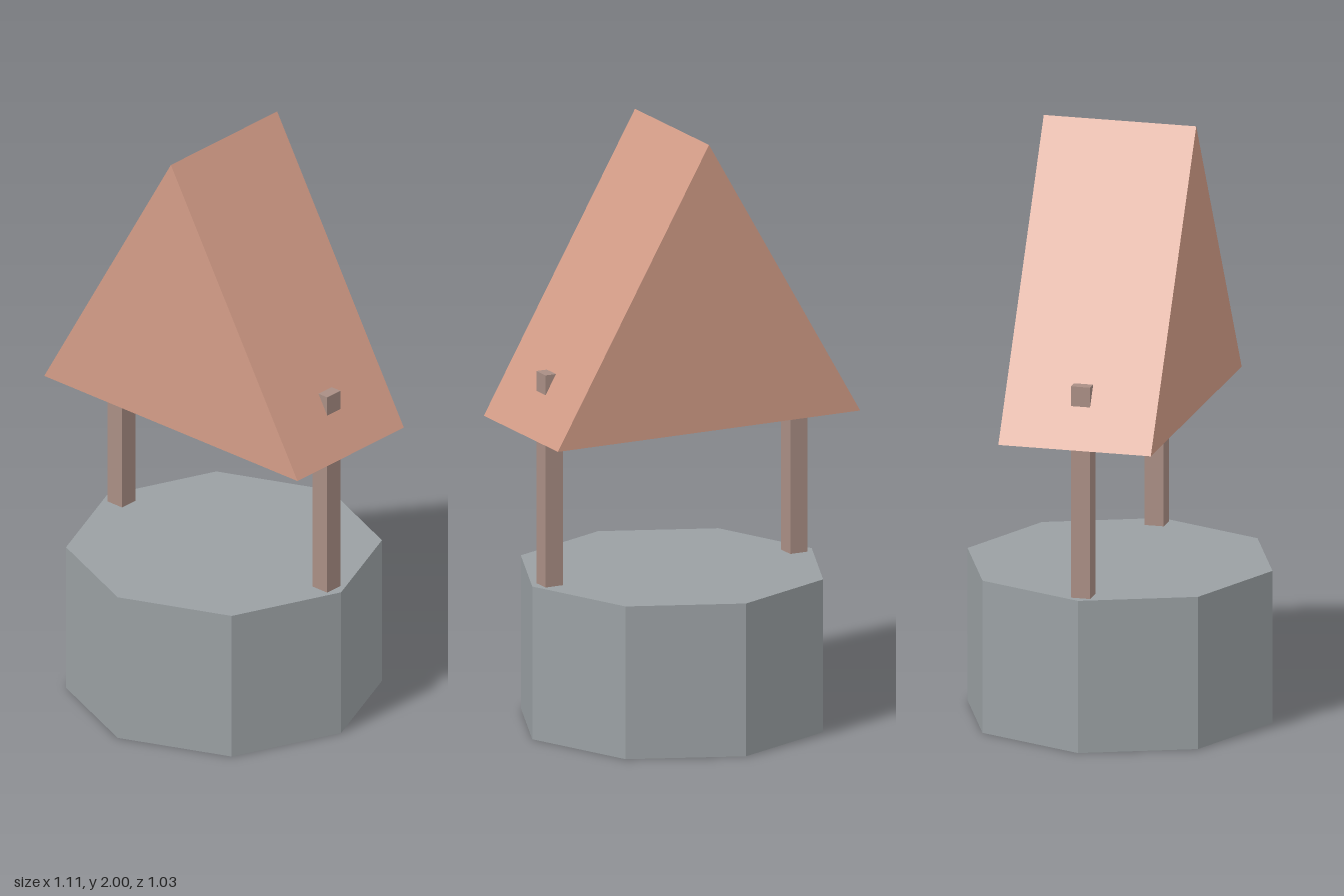
import * as THREE from 'three';

export function createModel() {
  const well = new THREE.Group();
  well.name = 'wishingWell';

  const add = (name, geometry, color, x, y, z) => {
    const material = new THREE.MeshStandardMaterial({ color, flatShading: true });
    const mesh = new THREE.Mesh(geometry, material);
    mesh.name = name;
    mesh.position.set(x, y, z);
    well.add(mesh);
  };

  // Solid eight-sided stone base, with corners on the x and z axes
  const baseHeight = 0.515;
  add('stoneBase', new THREE.CylinderGeometry(0.515, 0.515, baseHeight, 8), 0x9aa0a3, 0, baseHeight / 2, 0);

  // Square posts, sunk into the base and poking through the roof slopes
  const postBottom = 0.46, postTop = 1.23;
  for (const [name, side] of [['leftPost', 1], ['rightPost', -1]]) {
    add(name, new THREE.BoxGeometry(0.064, postTop - postBottom, 0.064), 0xa98e84,
      side * 0.451, (postTop + postBottom) / 2, 0);
  }

  // Solid gable roof: a triangular prism with its ridge along z
  const gable = new THREE.Shape([
    new THREE.Vector2(-0.557, 1.035),
    new THREE.Vector2(0.557, 1.035),
    new THREE.Vector2(0, 2),
  ]);
  const roofDepth = 0.515;
  add('roof', new THREE.ExtrudeGeometry(gable, { depth: roofDepth, bevelEnabled: false }), 0xd39c87,
    0, 0, -roofDepth / 2);

  return well;
}
